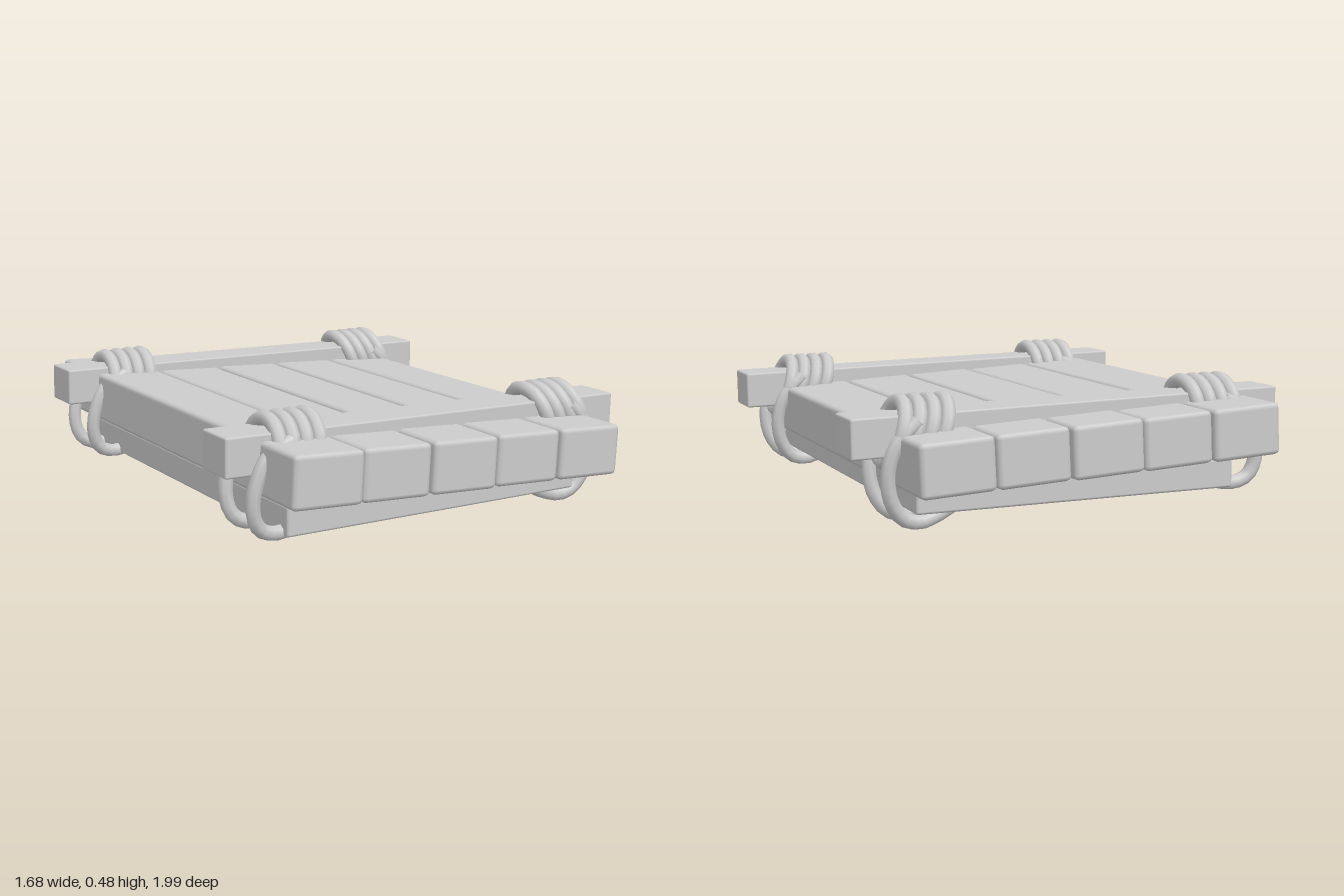
import * as THREE from 'three';
import { RoundedBoxGeometry } from 'three/addons/geometries/RoundedBoxGeometry.js';

const material = new THREE.MeshStandardMaterial({ color: 0xcccccc });
const ROPE = 0.027;

function add(parent, name, geometry, x = 0, y = 0, z = 0, tilt = 0) {
  const mesh = new THREE.Mesh(geometry, material);
  mesh.name = name;
  mesh.position.set(x, y, z);
  mesh.rotation.z = tilt;
  parent.add(mesh);
  return mesh;
}

function rope(points, closed, segments) {
  const curve = new THREE.CatmullRomCurve3(points.map((p) => new THREE.Vector3(...p)), closed);
  return new THREE.TubeGeometry(curve, segments, ROPE, 8, closed);
}

// Four coils over the crossbar and two strands hooking under the backing board
function lashing(side, barZ) {
  const group = new THREE.Group();
  group.name = side < 0 ? 'rightLashing' : 'leftLashing';
  const centreY = side < 0 ? 0.36 : 0.345;
  const lean = side < 0 ? 0.03 : 0.11;
  for (let i = 0; i < 4; i++) {
    const x = side < 0 ? -0.64 + i * 0.052 : 0.47 + i * 0.052;
    const points = [];
    for (let k = 0; k < 12; k++) {
      const a = (k / 12) * Math.PI * 2;
      points.push([x + side * lean * (0.3 - 0.3 * Math.sin(a)), centreY + 0.104 * Math.sin(a), barZ + 0.108 * Math.cos(a)]);
    }
    add(group, 'ropeCoil', rope(points, true, 24));
  }
  // Strand path as x, y, distance from the bar's centre line
  const path = side < 0
    ? [[-0.6, 0.4, 0.106], [-0.69, 0.36, 0.108], [-0.74, 0.26, 0.103], [-0.748, 0.17, 0.097],
      [-0.72, 0.105, 0.09], [-0.66, 0.08, 0.083], [-0.56, 0.095, 0.075]]
    : [[0.6, 0.39, 0.106], [0.675, 0.32, 0.108], [0.708, 0.22, 0.1], [0.695, 0.12, 0.092],
      [0.65, 0.055, 0.083], [0.59, 0.036, 0.075], [0.52, 0.055, 0.067], [0.45, 0.09, 0.06]];
  for (const s of [-1, 1]) {
    add(group, 'ropeHook', rope(path.map(([x, y, d]) => [x, y, barZ + s * d]), false, 18));
  }
  return group;
}

export function createModel() {
  const model = new THREE.Group();
  model.name = 'plankPanel';

  // Five planks side by side, stepping down slightly towards the left
  const centres = [[-0.579, 0.306, 0], [-0.303, 0.292, 0.008], [-0.025, 0.282, 0], [0.255, 0.27, 0.006], [0.533, 0.258, 0]];
  centres.forEach(([x, y, inset], i) => {
    add(model, `plank${i + 1}`, new RoundedBoxGeometry(0.272, 0.19, 1.99 - 2 * inset, 1, 0.018), x, y, 0, -0.05);
  });

  // Backing board under the planks
  add(model, 'backingBoard', new RoundedBoxGeometry(1.25, 0.11, 1.62, 1, 0.01), -0.01, 0.125, 0);

  // Crossbars lashed to the planks at all four corners
  for (const z of [-0.687, 0.678]) {
    add(model, z > 0 ? 'frontCrossbar' : 'backCrossbar', new RoundedBoxGeometry(1.676, 0.142, 0.172, 1, 0.008), -0.005, 0.35, z, -0.016);
    for (const side of [-1, 1]) model.add(lashing(side, z));
  }
  return model;
}
